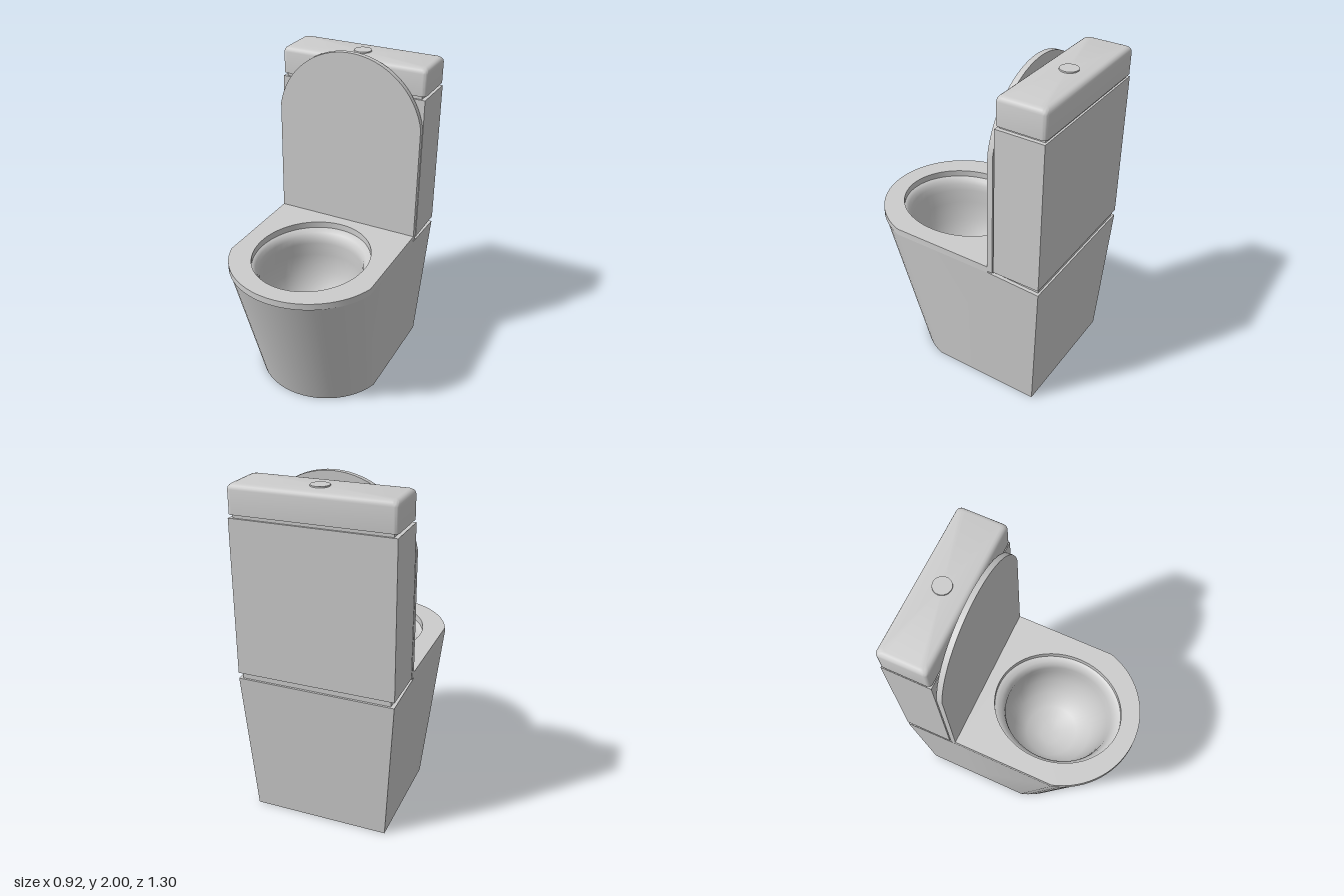
import * as THREE from 'three';
import { toCreasedNormals } from 'three/addons/utils/BufferGeometryUtils.js';

const ceramic = new THREE.MeshStandardMaterial({ color: 0xcccccc });
ceramic.name = 'ceramic grey';

const V = (x, y, z) => new THREE.Vector3(x, y, z);

// Geometry from a list of triangles, smooth except at sharp edges
function fromTriangles(tris, crease = 0.6) {
  const g = new THREE.BufferGeometry().setFromPoints(tris);
  g.computeVertexNormals();
  return toCreasedNormals(g, crease);
}

// Fan over a convex ring; up = true faces +y for a ring anticlockwise from above
function fan(ring, up) {
  const c = ring.reduce((s, p) => s.add(p), V(0, 0, 0)).divideScalar(ring.length);
  return ring.flatMap((p, i) => {
    const q = ring[(i + 1) % ring.length];
    return up ? [c, p, q] : [c, q, p];
  });
}

// Side walls between successive rings
function walls(rings) {
  const t = [];
  for (let k = 0; k + 1 < rings.length; k++) {
    const a = rings[k], b = rings[k + 1];
    a.forEach((p, i) => {
      const j = (i + 1) % a.length;
      t.push(p, a[j], b[j], p, b[j], b[i]);
    });
  }
  return t;
}

// Points of the rounded nose from (-w, start) through (0, tip) to (w, start)
function nose(w, start, tip, n = 24) {
  const h = tip - start, r = (w * w + h * h) / (2 * h);
  const half = Math.atan2(w, r - h);
  return Array.from({ length: n + 1 }, (_, i) => {
    const a = -half + (2 * half * i) / n;
    return [r * Math.sin(a), tip - r + r * Math.cos(a)];
  });
}

// D-shaped ring of the pedestal
function dRing(y, yBack, w, back, hinge, start, tip) {
  return [V(-w, yBack, back), V(-w, y, hinge),
    ...nose(w, start, tip).map(([x, z]) => V(x, y, z)),
    V(w, y, hinge), V(w, yBack, back)];
}

// Oval ring of the bowl
function ovalRing([y, rx, z0, z1], n = 48) {
  return Array.from({ length: n }, (_, i) => {
    const a = (i / n) * Math.PI * 2;
    return V(rx * Math.cos(a), y, (z0 + z1) / 2 - ((z1 - z0) / 2) * Math.sin(a));
  });
}

// Rounded rectangle ring of the cistern cover
function rectRing(y, inset, hw, hd, zc, r = 0.025, n = 5) {
  const pts = [];
  [[1, -1], [-1, -1], [-1, 1], [1, 1]].forEach(([sx, sz], k) => {
    for (let i = 0; i <= n; i++) {
      const a = (k + i / n) * Math.PI / 2;
      pts.push(V(sx * (hw - inset - r) + r * Math.cos(a), y,
        zc + sz * (hd - inset - r) - r * Math.sin(a)));
    }
  });
  return pts;
}

// D-shaped plate outline for the seat and the lid
function dShape(w, base, start, tip) {
  const s = new THREE.Shape();
  s.moveTo(w, base);
  nose(w, start, tip, 32).reverse().forEach(([x, y]) => s.lineTo(x, y));
  s.lineTo(-w, base);
  s.closePath();
  return s;
}

function extrude(shape, depth) {
  return toCreasedNormals(new THREE.ExtrudeGeometry(shape,
    { depth, bevelEnabled: false, curveSegments: 48 }), 0.6);
}

export function createModel() {
  const model = new THREE.Group();
  model.name = 'toilet';
  const add = (name, geometry, x = 0, y = 0, z = 0) => {
    const m = new THREE.Mesh(geometry, ceramic);
    m.name = name;
    m.position.set(x, y, z);
    model.add(m);
    return m;
  };

  // Tapered pedestal with a rear deck under the cistern
  const foot = dRing(0, 0, 0.4, -0.603, -0.34, 0.07, 0.368);
  const top = dRing(0.872, 0.856, 0.457, -0.645, -0.31, 0.31, 0.645);
  const n = top.length;
  const deck = [top[0], top[1], top[n - 2], top[n - 1]];
  add('pedestal', fromTriangles([...walls([foot, top]), ...fan(foot, false), ...fan(deck, true)]));

  // Bowl interior with a rolled rim
  const bowl = [
    [0.873, 0.35, -0.252, 0.547], [0.868, 0.335, -0.235, 0.532],
    [0.855, 0.32, -0.207, 0.515], [0.83, 0.308, -0.187, 0.5],
    [0.79, 0.303, -0.18, 0.485], [0.7, 0.31, -0.19, 0.465],
    [0.58, 0.295, -0.18, 0.43], [0.46, 0.25, -0.13, 0.37],
    [0.385, 0.17, -0.05, 0.28], [0.355, 0.08, 0.05, 0.18],
  ].map((r) => ovalRing(r));
  add('bowl', fromTriangles([...walls(bowl), ...fan(bowl[bowl.length - 1], true)], 0.9));

  // Seat ring
  const seatShape = dShape(0.458, -0.322, 0.31, 0.65);
  const hole = new THREE.Path();
  hole.absellipse(0, 0.147, 0.343, 0.393, 0, Math.PI * 2, true);
  seatShape.holes.push(hole);
  const seat = add('seat', extrude(seatShape, 0.04), 0, 0.911, 0);
  seat.rotation.x = Math.PI / 2;

  // Raised lid
  add('lid', extrude(dShape(0.458, 0.88, 1.62, 2), 0.032), 0, 0, -0.352);

  // Hinge bar below the lid
  const hinge = add('hinge', new THREE.CylinderGeometry(0.012, 0.012, 0.88, 16), 0, 0.874, -0.343);
  hinge.rotation.z = Math.PI / 2;

  // Cistern with recessed joints above and below
  add('cistern', new THREE.BoxGeometry(0.916, 0.89, 0.285), 0, 1.335, -0.5025);
  add('lowerJoint', new THREE.BoxGeometry(0.87, 0.05, 0.262), 0, 0.872, -0.5025);
  add('upperJoint', new THREE.BoxGeometry(0.87, 0.04, 0.262), 0, 1.79, -0.5025);

  // Cistern cover with a rounded top edge
  const cover = [[1.8, 0], [1.93, 0], [1.942, 0.003], [1.951, 0.009], [1.957, 0.018], [1.96, 0.03]]
    .map(([y, inset]) => rectRing(y, inset, 0.459, 0.1445, -0.504));
  add('cisternCover', fromTriangles([...walls(cover), ...fan(cover[0], false),
    ...fan(cover[cover.length - 1], true)]));

  // Flush button
  add('flushButton', toCreasedNormals(new THREE.CylinderGeometry(0.052, 0.054, 0.02, 32), 0.6),
    0, 1.957, -0.508);

  return model;
}
